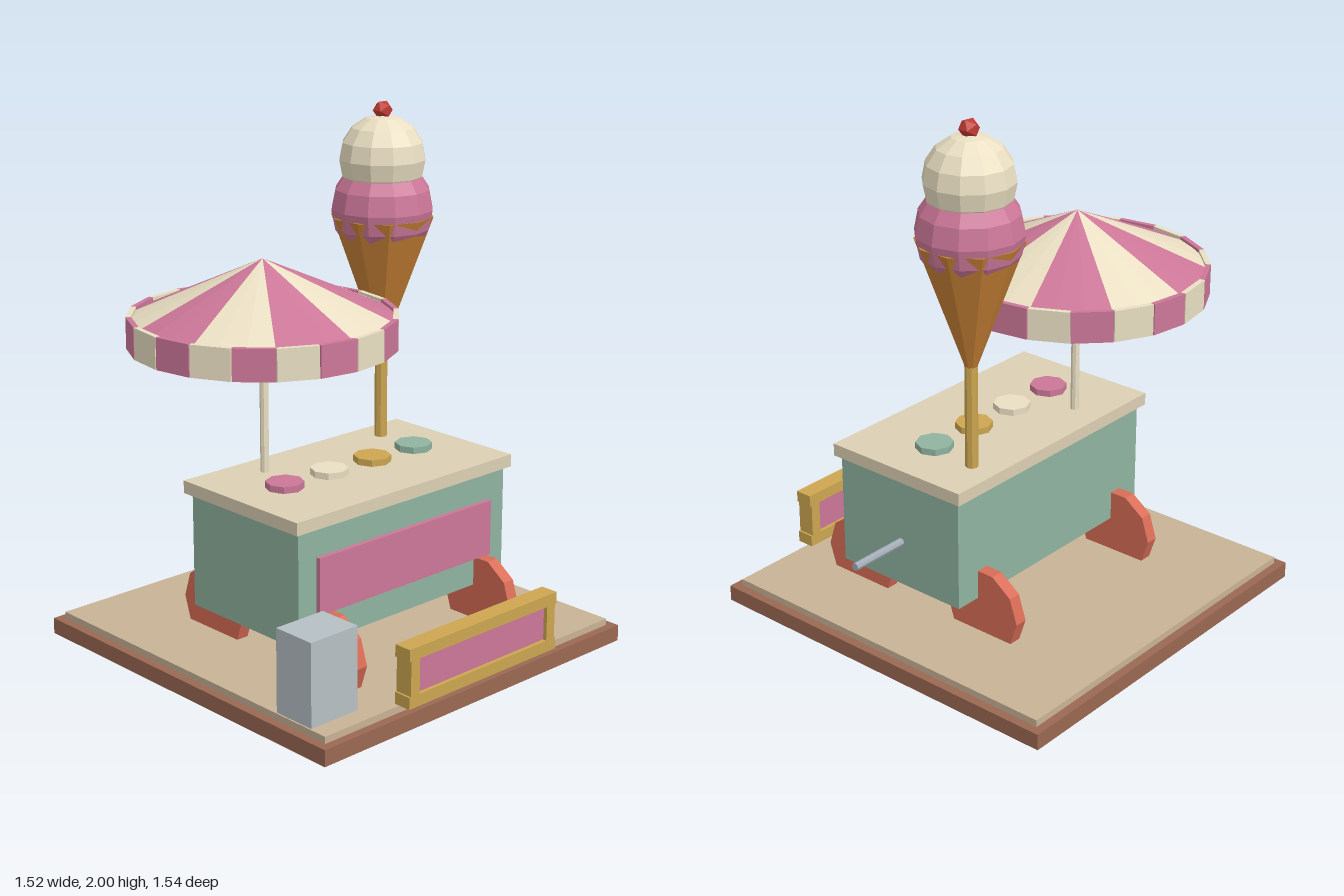
import * as THREE from 'three';

const COLORS = {
  brown: 0x9a6852, sand: 0xc8b295, green: 0x8fb39f, cream: 0xeadfc3, counter: 0xdccfb3,
  pink: 0xcc7798, gold: 0xcca650, coral: 0xd86c56, grey: 0xb6c0c4, steel: 0xa3acb6,
  waffle: 0xc98236, cherry: 0xc23a34,
};
const materials = {};
for (const [key, color] of Object.entries(COLORS)) {
  materials[key] = new THREE.MeshStandardMaterial({ color, flatShading: true, side: THREE.DoubleSide });
}

export function createModel() {
  const model = new THREE.Group();

  function add(name, geometry, color, x = 0, y = 0, z = 0, parent = model) {
    const mesh = new THREE.Mesh(geometry, materials[color]);
    mesh.name = name;
    mesh.position.set(x, y, z);
    parent.add(mesh);
    return mesh;
  }

  // Box given by its limits on each axis
  function box(name, color, [x0, x1], [y0, y1], [z0, z1], parent = model) {
    return add(name, new THREE.BoxGeometry(x1 - x0, y1 - y0, z1 - z0), color,
      (x0 + x1) / 2, (y0 + y1) / 2, (z0 + z1) / 2, parent);
  }

  // Upright cylinder given by its bottom and top heights
  function post(name, color, rTop, rBottom, y0, y1, sides, x, z, parent = model) {
    return add(name, new THREE.CylinderGeometry(rTop, rBottom, y1 - y0, sides), color,
      x, (y0 + y1) / 2, z, parent);
  }

  // Base
  box('basePlinth', 'brown', [-0.76, 0.76], [0, 0.062], [-0.768, 0.755]);
  box('baseFloor', 'sand', [-0.728, 0.726], [0.062, 0.088], [-0.735, 0.722]);

  // Cart
  box('cartBody', 'green', [-0.523, 0.52], [0.222, 0.657], [-0.202, 0.367]);
  box('counter', 'counter', [-0.545, 0.541], [0.657, 0.705], [-0.225, 0.386]);
  box('frontPanel', 'pink', [-0.438, 0.435], [0.333, 0.547], [0.36, 0.386]);
  for (const x of [-0.396, 0.391]) {
    for (const z of [-0.22, 0.388]) {
      const wheel = add('wheel', new THREE.CylinderGeometry(0.165, 0.165, 0.05, 10), 'coral', x, 0.177, z);
      wheel.rotation.z = Math.PI / 2;
      // Turn a corner of the wheel to point along z
    }
  }
  const handle = add('pushHandle', new THREE.CylinderGeometry(0.015, 0.015, 0.25, 8), 'steel', 0.635, 0.398, 0.077);
  handle.rotation.z = Math.PI / 2;

  // Tub lids on the counter
  ['pink', 'cream', 'gold', 'green'].forEach((color, i) => {
    post('tubLid', color, 0.071, 0.071, 0.705, 0.73, 8, -0.329 + i * 0.218, 0.083);
  });

  // Umbrella
  const umbrella = new THREE.Group();
  umbrella.name = 'umbrella';
  umbrella.position.set(-0.264, 0, -0.1);
  model.add(umbrella);
  post('umbrellaPole', 'cream', 0.016, 0.016, 0.7, 1.49, 8, 0, 0, umbrella);
  const wedge = Math.PI / 5;
  for (let i = 0; i < 10; i++) {
    add('canopyWedge', new THREE.ConeGeometry(0.478, 0.215, 3, 1, true, i * wedge, wedge),
      i % 2 ? 'pink' : 'cream', 0, 1.398, 0, umbrella);
  }
  for (let i = 0; i < 20; i++) {
    const angle = (i + 0.5) * Math.PI / 10;
    const flap = add('valanceFlap', new THREE.BoxGeometry(0.15, 0.117, 0.02), i % 2 ? 'pink' : 'cream',
      0.476 * Math.sin(angle), 1.247, 0.476 * Math.cos(angle), umbrella);
    flap.rotation.y = angle;
  }

  // Giant ice cream
  const iceCream = new THREE.Group();
  iceCream.name = 'iceCream';
  iceCream.position.set(0.347, 0, -0.117);
  model.add(iceCream);
  post('conePost', 'gold', 0.024, 0.024, 0.7, 1.15, 8, 0, 0, iceCream);
  post('waffleCone', 'waffle', 0.195, 0.004, 1.045, 1.573, 10, 0, 0, iceCream);
  add('lowerScoop', new THREE.SphereGeometry(0.195, 12, 8), 'pink', 0, 1.6, 0, iceCream);
  add('upperScoop', new THREE.SphereGeometry(0.165, 12, 8), 'cream', 0, 1.787, 0, iceCream);
  add('cherry', new THREE.IcosahedronGeometry(0.038, 0), 'cherry', 0, 1.967, 0, iceCream);

  // Storage box
  box('storageBox', 'grey', [-0.722, -0.508], [0.088, 0.4], [0.474, 0.648]);

  // Sign board at the front edge
  const sign = new THREE.Group();
  sign.name = 'sign';
  model.add(sign);
  box('signPanel', 'pink', [-0.335, 0.33], [0.13, 0.27], [0.715, 0.755], sign);
  for (const y of [0.088, 0.265]) {
    box('signRail', 'gold', [-0.38, 0.376], [y, y + 0.045], [0.7, 0.77], sign);
  }
  for (const x of [-0.372, 0.326]) {
    box('signStile', 'gold', [x, x + 0.042], [0.133, 0.265], [0.7, 0.77], sign);
  }

  return model;
}
